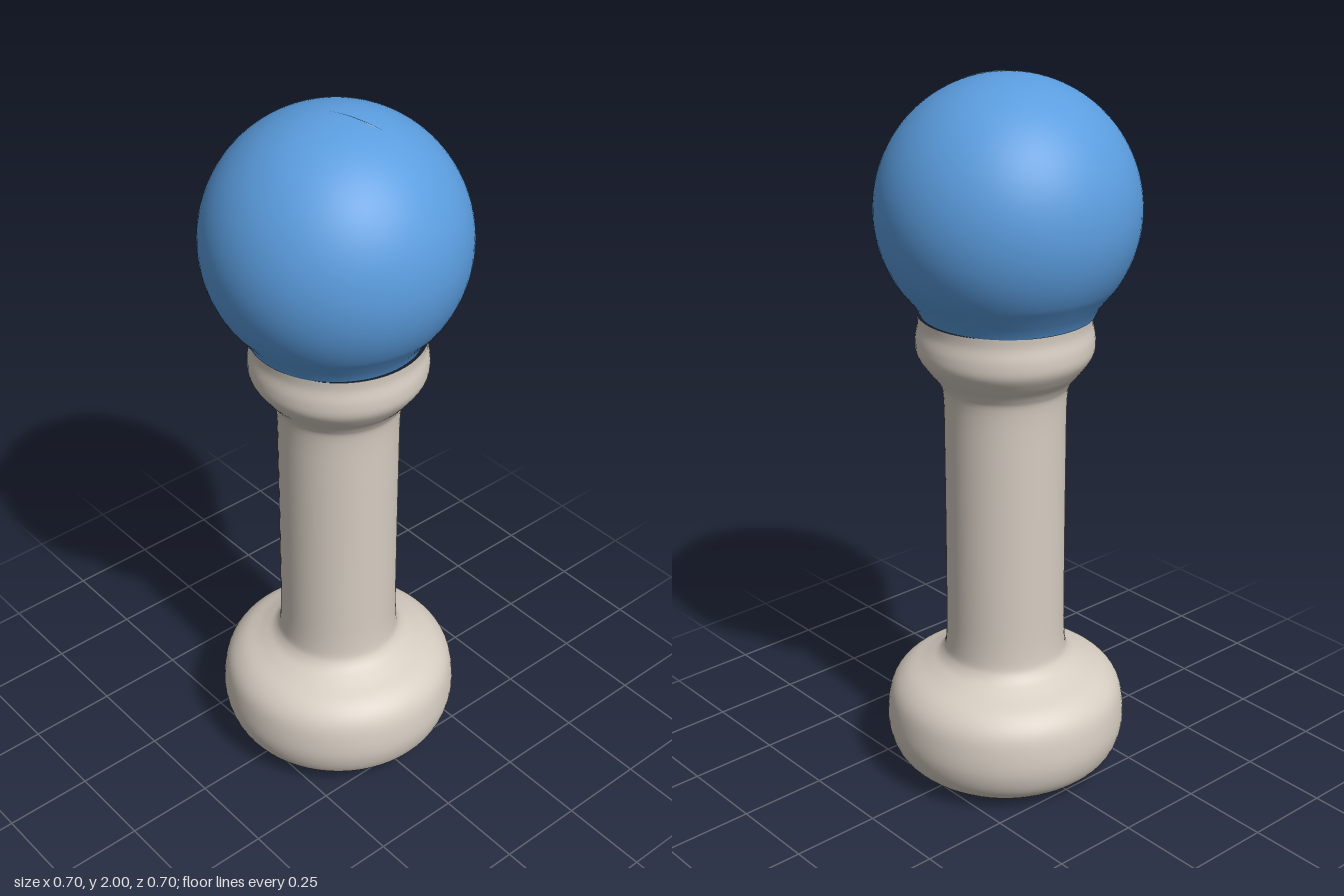
import * as THREE from 'three';

const BALL_RADIUS = 0.351;
const BALL_Y = 1.648;
const SEAM_Y = 1.37;
const SEAM_RADIUS = 0.235;

const vectors = (pairs) => pairs.map(([x, y]) => new THREE.Vector2(x, y));

// Closed outline lying on the top of the ball, as rings shrinking to a centre
function domePatch(outline, cx, cz, rings, lift) {
  const n = outline.length;
  const position = [], normal = [], index = [];
  for (let r = 0; r <= rings; r++) {
    for (const p of outline) {
      const x = cx + (p.x - cx) * r / rings;
      const z = cz + (p.y - cz) * r / rings;
      const h = Math.sqrt(BALL_RADIUS ** 2 - x * x - z * z);
      position.push(x, BALL_Y + h + lift, z);
      normal.push(x / BALL_RADIUS, h / BALL_RADIUS, z / BALL_RADIUS);
    }
  }
  for (let r = 0; r < rings; r++) {
    for (let i = 0; i < n; i++) {
      const a = r * n + i, b = r * n + (i + 1) % n;
      if (r > 0) index.push(a, b, b + n);
      index.push(a, b + n, a + n);
    }
  }
  // Outline runs clockwise seen from above, so turn the triangles over
  for (let i = 0; i < index.length; i += 3) {
    [index[i + 1], index[i + 2]] = [index[i + 2], index[i + 1]];
  }
  const geometry = new THREE.BufferGeometry();
  geometry.setAttribute('position', new THREE.Float32BufferAttribute(position, 3));
  geometry.setAttribute('normal', new THREE.Float32BufferAttribute(normal, 3));
  geometry.setIndex(index);
  return geometry;
}

export function createModel() {
  const stone = new THREE.MeshStandardMaterial({ name: 'warm stone', color: 0xd6cdc2 });
  const blue = new THREE.MeshStandardMaterial({ name: 'ball blue', color: 0x5b9ddf });
  const pale = new THREE.MeshStandardMaterial({ name: 'pale blue grey', color: 0x93b3cd });

  const model = new THREE.Group();
  model.name = 'ballPost';
  const add = (name, geometry, material) => {
    const mesh = new THREE.Mesh(geometry, material);
    mesh.name = name;
    model.add(mesh);
    return mesh;
  };

  // Soft rounded foot, straight shaft and flared collar in one turned profile
  const postCurve = new THREE.SplineCurve(vectors([
    [0.21, 0.004], [0.265, 0.02], [0.315, 0.065], [0.338, 0.13], [0.337, 0.2],
    [0.322, 0.255], [0.285, 0.295], [0.225, 0.325], [0.182, 0.355], [0.168, 0.41],
    [0.166, 0.6], [0.166, 0.95], [0.168, 1.13], [0.182, 1.18], [0.213, 1.22],
    [0.238, 1.26], [0.241, 1.3], [0.234, 1.34], [SEAM_RADIUS, SEAM_Y],
  ]));
  const postProfile = [new THREE.Vector2(0, 0), ...postCurve.getPoints(90)];
  add('post', new THREE.LatheGeometry(postProfile, 64), stone).position.set(0.006, 0, -0.004);

  // Ball, pinched out slightly where it meets the collar
  const ballProfile = vectors([[SEAM_RADIUS, SEAM_Y], [0.251, 1.402]]);
  const start = -0.6;
  for (let i = 0; i <= 40; i++) {
    const a = start + (Math.PI / 2 - start) * i / 40;
    ballProfile.push(new THREE.Vector2(
      Math.max(0, BALL_RADIUS * Math.cos(a)), BALL_Y + BALL_RADIUS * Math.sin(a)));
  }
  add('ball', new THREE.LatheGeometry(ballProfile, 72), blue);

  // Pale irregular patch on the crown
  const loop = [
    [-0.095, 0.03], [-0.091, -0.015], [-0.067, -0.045], [-0.06, -0.09], [-0.04, -0.118],
    [-0.012, -0.11], [0.005, -0.08], [0.015, -0.04], [0.037, -0.022], [0.09, -0.028],
    [0.125, -0.049], [0.145, -0.035], [0.149, 0.01], [0.135, 0.047], [0.108, 0.063],
    [0.05, 0.069], [0, 0.082], [-0.035, 0.085], [-0.075, 0.07],
  ];
  const outline = new THREE.SplineCurve(vectors([...loop, loop[0]])).getPoints(76).slice(0, -1);
  add('crownPatch', domePatch(outline, -0.01, 0.015, 10, 0.002), pale);

  return model;
}
